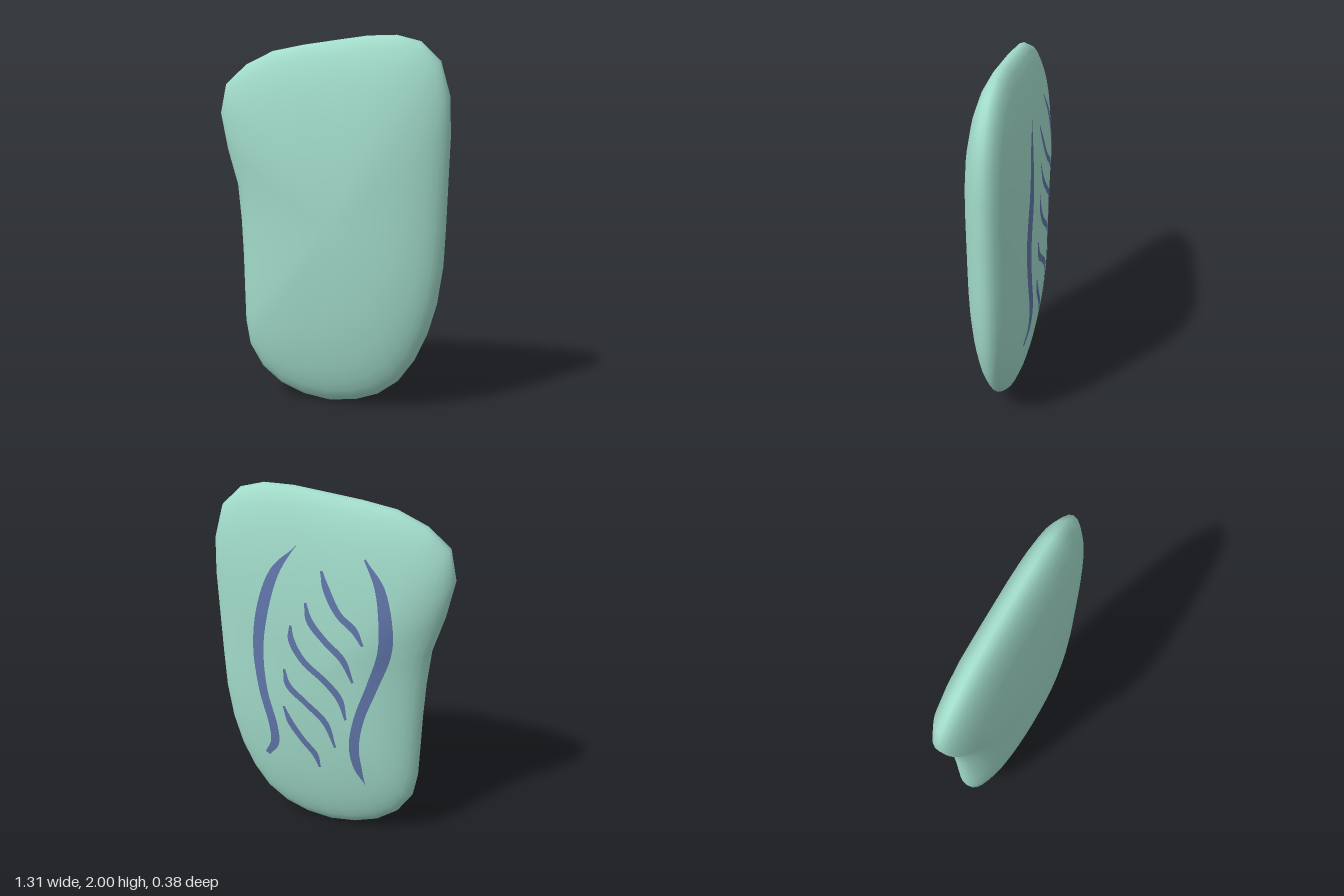
import * as THREE from 'three';
import { mergeVertices } from 'three/addons/utils/BufferGeometryUtils.js';

// Pebble outline, counter-clockwise seen from the front
const OUTLINE = [
  [-0.535, 1.0], [-0.525, 0.8], [-0.52, 0.6], [-0.515, 0.42], [-0.49, 0.28], [-0.41, 0.155],
  [-0.295, 0.07], [-0.16, 0.022], [-0.01, 0.003], [0.14, 0.022], [0.27, 0.07], [0.385, 0.155],
  [0.475, 0.28], [0.545, 0.43], [0.595, 0.6], [0.625, 0.8], [0.635, 1.0], [0.642, 1.2],
  [0.652, 1.49], [0.645, 1.69], [0.595, 1.865], [0.49, 1.965], [0.36, 2.0], [0.2, 2.0],
  [0, 1.978], [-0.16, 1.96], [-0.34, 1.93], [-0.5, 1.86], [-0.62, 1.76], [-0.655, 1.6],
  [-0.615, 1.4], [-0.555, 1.2],
];
const CX = 0.05, CY = 1.0, DEPTH = 0.187;

// Half thickness of the pebble at a point inside its outline
function halfDepth(x, y) {
  const dx = x - CX, dy = y - CY;
  let s = 0;
  OUTLINE.forEach(([ax, ay], i) => {
    const [bx, by] = OUTLINE[(i + 1) % OUTLINE.length];
    const nx = by - ay, ny = ax - bx;
    const k = (dx * nx + dy * ny) / ((ax - CX) * nx + (ay - CY) * ny);
    const px = CX + dx / k, py = CY + dy / k;
    const t = ((px - ax) * (bx - ax) + (py - ay) * (by - ay)) / (nx * nx + ny * ny);
    if (k > 0 && t >= -1e-6 && t <= 1 + 1e-6) s = k;
  });
  return DEPTH * Math.sqrt(Math.max(0, 1 - s * s));
}

// A sphere whose equator is pulled onto the outline
function pebbleGeometry() {
  const n = OUTLINE.length, rows = 24;
  const geo = new THREE.SphereGeometry(1, n, rows);
  const pos = geo.attributes.position;
  for (let i = 0; i < pos.count; i++) {
    const [ox, oy] = OUTLINE[(i % (n + 1)) % n];
    const theta = Math.floor(i / (n + 1)) / rows * Math.PI;
    const s = Math.sin(theta);
    pos.setXYZ(i, CX + (ox - CX) * s, CY + (oy - CY) * s, DEPTH * Math.cos(theta));
  }
  geo.deleteAttribute('uv');
  geo.deleteAttribute('normal');
  const merged = mergeVertices(geo, 1e-5);
  merged.computeVertexNormals();
  return merged;
}

// A tapering painted stroke that hugs the back; points are [x, y, width]
function strokeGeometry(points) {
  const path = new THREE.CatmullRomCurve3(points.map(([x, y]) => new THREE.Vector3(x, y, 0)));
  const widths = new THREE.SplineCurve(points.map((p, i) => new THREE.Vector2(i, p[2])));
  const along = 40, across = 4, verts = [], index = [];
  for (let i = 0; i <= along; i++) {
    const t = i / along, p = path.getPoint(t), d = path.getTangent(t);
    const w = Math.max(0.002, widths.getPoint(t).y);
    for (let j = 0; j <= across; j++) {
      const o = (j / across - 0.5) * w;
      const x = p.x - d.y * o, y = p.y + d.x * o;
      verts.push(x, y, -halfDepth(x, y) - 0.003);
      if (i < along && j < across) {
        const a = i * (across + 1) + j, b = a + across + 1;
        index.push(a, a + 1, b, b, a + 1, b + 1);
      }
    }
  }
  const geo = new THREE.BufferGeometry();
  geo.setAttribute('position', new THREE.Float32BufferAttribute(verts, 3));
  geo.setIndex(index);
  geo.computeVertexNormals();
  return geo;
}

// Two long side strokes
const SIDE_STROKES = [
  [[0.14, 1.73, 0], [0.25, 1.59, 0.05], [0.32, 1.38, 0.068], [0.355, 1.14, 0.065],
    [0.335, 0.895, 0.055], [0.282, 0.675, 0.055], [0.28, 0.56, 0.052], [0.335, 0.465, 0.03]],
  [[-0.22, 1.70, 0.01], [-0.305, 1.56, 0.05], [-0.345, 1.355, 0.07], [-0.34, 1.21, 0.07],
    [-0.28, 1.01, 0.06], [-0.215, 0.81, 0.055], [-0.19, 0.63, 0.055], [-0.21, 0.49, 0.045],
    [-0.25, 0.375, 0]],
];
// Five short slanted strokes between them
const SHORT_STROKES = [
  [[0, 1.62], [-0.03, 1.53], [-0.10, 1.405], [-0.185, 1.33], [-0.23, 1.25]],
  [[0.08, 1.445], [0.055, 1.35], [-0.03, 1.25], [-0.125, 1.16], [-0.18, 1.03]],
  [[0.16, 1.31], [0.155, 1.23], [0.09, 1.12], [-0.03, 1.02], [-0.11, 0.925], [-0.145, 0.80]],
  [[0.2, 1.05], [0.18, 0.96], [0.075, 0.865], [-0.03, 0.765], [-0.085, 0.61]],
  [[0.21, 0.82], [0.175, 0.73], [0.1, 0.62], [0.035, 0.54], [0.01, 0.455]],
];

export function createModel() {
  const stone = new THREE.MeshStandardMaterial({ color: 0xa2dccb });
  stone.name = 'mint stone';
  const paint = new THREE.MeshStandardMaterial({ color: 0x6177ab, side: THREE.DoubleSide });
  paint.name = 'blue paint';

  const model = new THREE.Group();
  model.name = 'paintedPebble';
  const add = (name, geo, mat) => {
    const mesh = new THREE.Mesh(geo, mat);
    mesh.name = name;
    model.add(mesh);
  };

  add('pebble', pebbleGeometry(), stone);
  SIDE_STROKES.forEach((pts, i) => add(`sideStroke${i + 1}`, strokeGeometry(pts), paint));
  SHORT_STROKES.forEach((pts, i) => {
    const last = pts.length - 1;
    const tapered = pts.map(([x, y], k) => [x, y, k === 0 || k === last ? 0.014 : 0.037]);
    add(`shortStroke${i + 1}`, strokeGeometry(tapered), paint);
  });
  return model;
}
